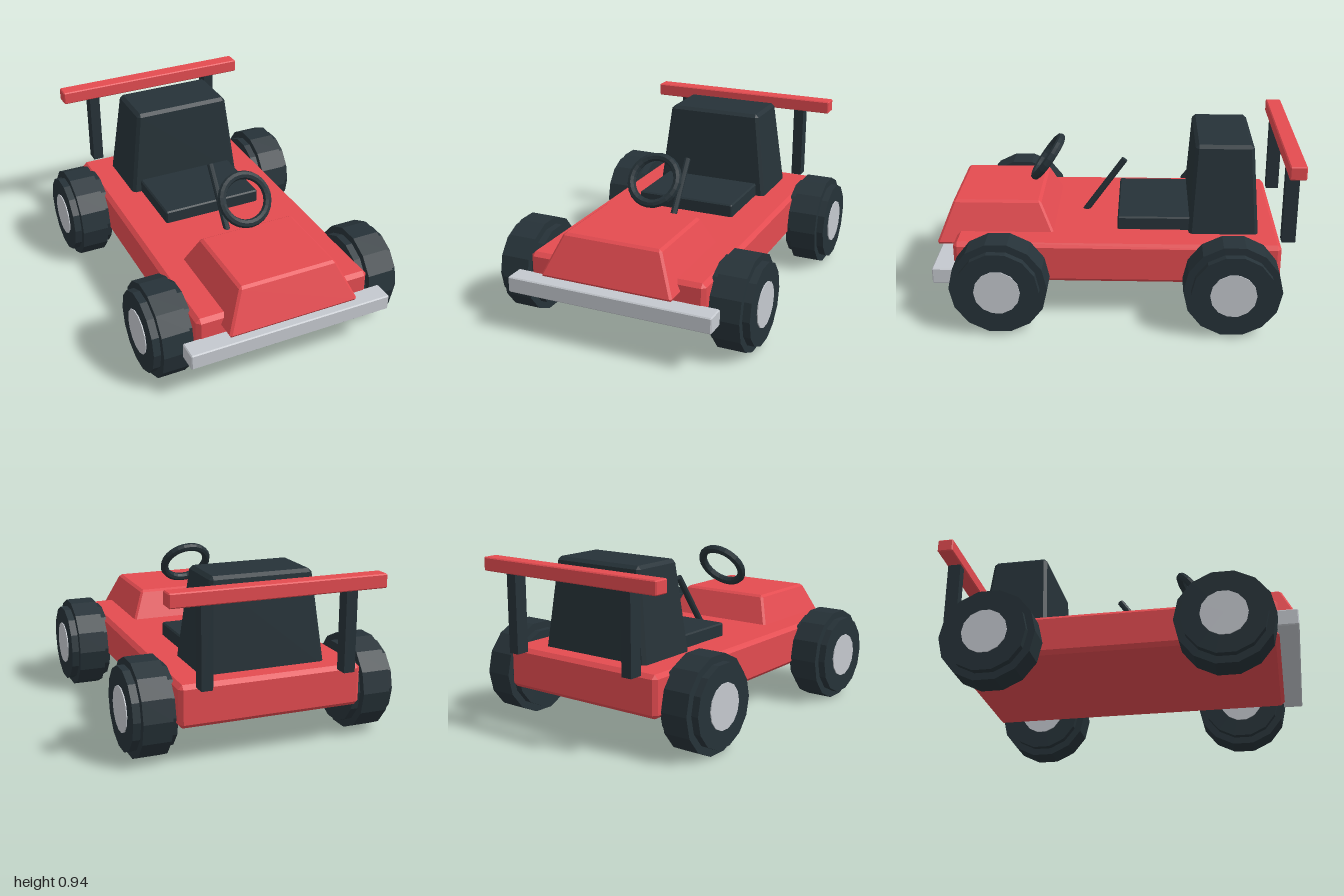
import * as THREE from 'three';
import { ConvexGeometry } from 'three/addons/geometries/ConvexGeometry.js';

const paint = (name, color) => new THREE.MeshStandardMaterial({ name, color, flatShading: true });

// Chamfered block; bottom and top are [halfWidth, zBack, zFront]
function block(y0, y1, bottom, top, bevel) {
  const points = [];
  const mid = (y0 + y1) / 2;
  for (const [y, [w, zb, zf]] of [[y0, bottom], [y1, top]]) {
    const sy = y < mid ? 1 : -1;
    // slide along the sloping side by the bevel height
    const other = y < mid ? top : bottom;
    const t = bevel / (y1 - y0);
    const lerp = (a, b) => a + (b - a) * t;
    for (const sx of [-1, 1]) {
      for (const [z, zOther, sz] of [[zb, other[1], 1], [zf, other[2], -1]]) {
        const ws = lerp(w, other[0]);
        const zs = lerp(z, zOther);
        points.push(
          new THREE.Vector3(sx * (w - bevel), y, z + sz * bevel),
          new THREE.Vector3(sx * ws, y + sy * bevel, zs + sz * bevel),
          new THREE.Vector3(sx * (ws - bevel), y + sy * bevel, zs));
      }
    }
  }
  return new ConvexGeometry(points);
}

const box = (halfWidth, y0, y1, zb, zf, bevel) =>
  block(y0, y1, [halfWidth, zb, zf], [halfWidth, zb, zf], bevel);

export function createModel() {
  const kart = new THREE.Group();
  kart.name = 'goKart';
  const red = paint('redPaint', 0xe34b50);
  const dark = paint('darkRubber', 0x263238);
  const silver = paint('silverMetal', 0xc4c8ce);

  const add = (name, geometry, material, parent = kart) => {
    const mesh = new THREE.Mesh(geometry, material);
    mesh.name = name;
    parent.add(mesh);
    return mesh;
  };

  // Bodywork
  add('chassis', box(0.508, 0.21, 0.44, -0.91, 0.89, 0.022), red);
  add('nose', block(0.37, 0.6, [0.38, 0.315, 1.005], [0.278, 0.425, 0.912], 0.012), red);
  add('frontBumper', box(0.588, 0.234, 0.324, 0.88, 0.995, 0.006), silver);

  // Seat
  add('seatCushion', box(0.295, 0.41, 0.515, -0.45, -0.01, 0.008), dark);
  add('seatBack', block(0.41, 0.94, [0.352, -0.797, -0.406], [0.284, -0.757, -0.438], 0.018), dark);

  // Rear wing on two posts
  add('rearWing', box(0.588, 0.863, 0.938, -1, -0.91, 0.006), red);
  for (const side of [-1, 1]) {
    const post = add('wingPost', new THREE.BoxGeometry(0.062, 0.45, 0.075), dark);
    post.position.set(side * 0.392, 0.655, -0.954);
  }

  // Steering
  const tilt = -0.62;
  const wheelRim = add('steeringWheel', new THREE.TorusGeometry(0.134, 0.024, 8, 24), dark);
  wheelRim.position.set(0, 0.762, 0.402);
  wheelRim.rotation.x = tilt;
  const column = add('steeringColumn', new THREE.CylinderGeometry(0.019, 0.019, 0.46, 10), dark);
  column.position.set(0, 0.563, 0.091);
  column.rotation.x = tilt;

  // Wheels: tread, narrower-radius sidewalls and a hub, all along x
  const disc = (radius, width) =>
    new THREE.CylinderGeometry(radius, radius, width, 14).rotateZ(Math.PI / 2);
  for (const [end, z] of [['front', 0.622], ['rear', -0.638]]) {
    for (const side of [-1, 1]) {
      const wheel = new THREE.Group();
      wheel.name = `${end}${side > 0 ? 'Left' : 'Right'}Wheel`;
      wheel.position.set(side * 0.615, 0.26, z);
      add('tread', disc(0.266, 0.155), dark, wheel);
      add('sidewall', disc(0.226, 0.236), dark, wheel);
      add('hub', disc(0.125, 0.247), silver, wheel);
      kart.add(wheel);
    }
  }
  return kart;
}
